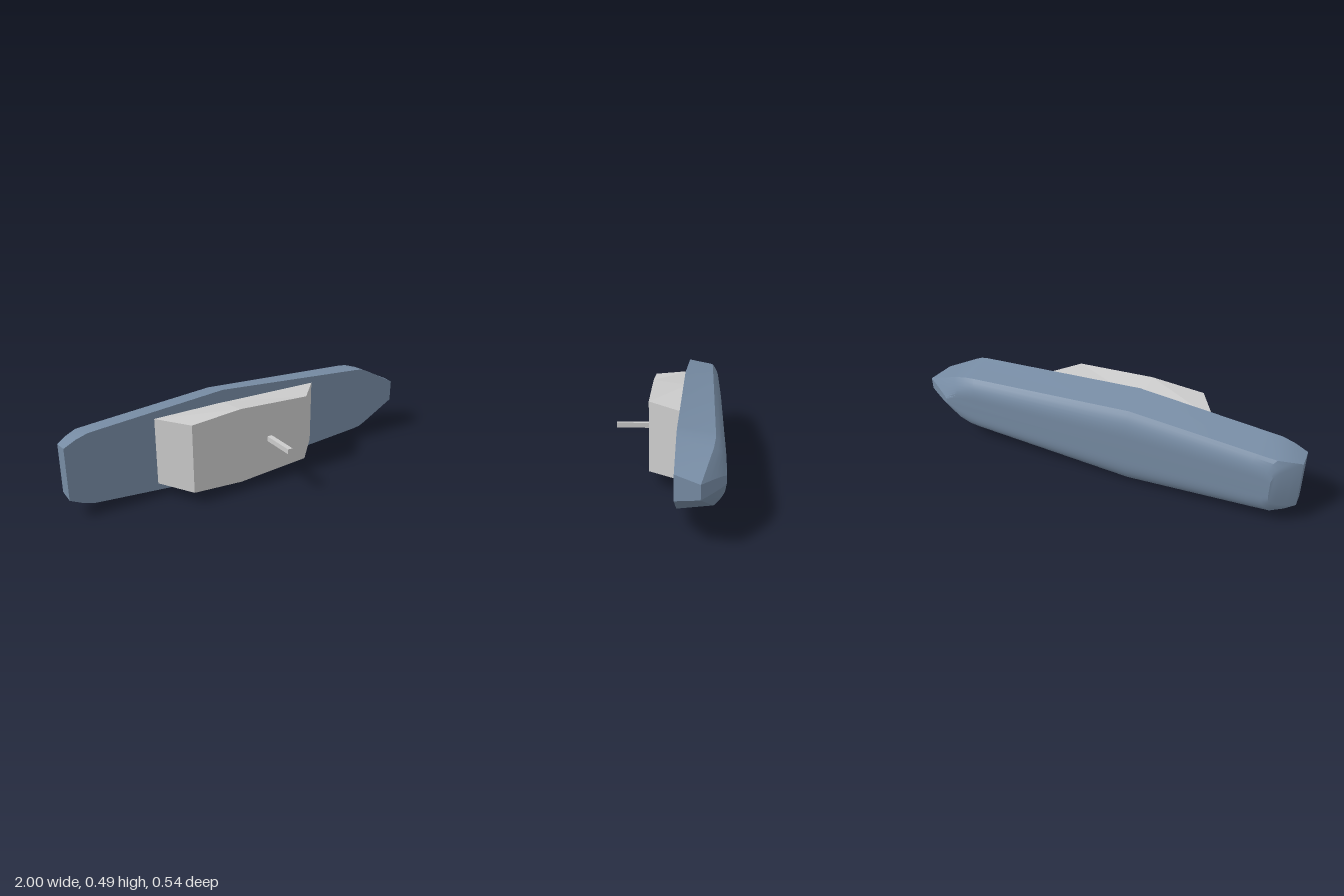
import * as THREE from 'three';
import { toCreasedNormals } from 'three/addons/utils/BufferGeometryUtils.js';

const CENTRE_Y = 0.2435;
const BOTTOM_Z = -0.27;
const lerp = THREE.MathUtils.lerp;

// Full closed outline from one side's stations [x, half width, z]
function mirrorRing(stations) {
  const upper = stations.map(([x, w, z]) => new THREE.Vector3(x, CENTRE_Y + w, z));
  const lower = stations.map(([x, w, z]) => new THREE.Vector3(x, CENTRE_Y - w, z)).reverse();
  return [...upper, ...lower];
}

// Skin a stack of rings, ordered from +z to -z, with capped ends
function loft(rings, crease) {
  const pos = [];
  const tri = (...pts) => pts.forEach((p) => pos.push(p.x, p.y, p.z));
  const n = rings[0].length;
  for (let r = 0; r < rings.length - 1; r++) {
    for (let i = 0; i < n; i++) {
      const j = (i + 1) % n;
      const [a, b, c, d] = [rings[r][i], rings[r][j], rings[r + 1][i], rings[r + 1][j]];
      tri(a, b, c);
      tri(b, d, c);
    }
  }
  const cap = (ring, flip) => {
    const mid = ring.reduce((s, p) => s.add(p), new THREE.Vector3()).divideScalar(n);
    ring.forEach((p, i) => {
      const q = ring[(i + 1) % n];
      if (flip) tri(mid, p, q);
      else tri(mid, q, p);
    });
  };
  cap(rings[0], false);
  cap(rings[rings.length - 1], true);
  const geo = new THREE.BufferGeometry();
  geo.setAttribute('position', new THREE.Float32BufferAttribute(pos, 3));
  return toCreasedNormals(geo, crease);
}

function part(name, geo, color) {
  const mesh = new THREE.Mesh(geo, new THREE.MeshStandardMaterial({ color }));
  mesh.name = name;
  return mesh;
}

export function createModel() {
  const model = new THREE.Group();
  model.name = 'ship';

  // Hull: deck edge, chine, then a rounded bilge closing to a flat bottom
  const deckZ = (x) => -0.0755 + 0.0205 * x;
  const deck = [[-1, 0.135], [-0.94, 0.165], [-0.88, 0.184], [-0.8, 0.191], [-0.17, 0.2435],
    [0.69, 0.179], [0.73, 0.173], [0.77, 0.154], [0.95, 0.056]]
    .map(([x, w]) => [x, w, deckZ(x)]);
  const chine = [[-1, 0.126, -0.178], [-0.95, 0.142, -0.207], [-0.89, 0.154, -0.233],
    [-0.8, 0.161, -0.233], [-0.17, 0.208, -0.227], [0.69, 0.154, -0.225],
    [0.74, 0.148, -0.224], [0.81, 0.125, -0.215], [1, 0.032, -0.163]];
  const floor = [[-0.88, 0.035], [-0.87, 0.04], [-0.85, 0.042], [-0.78, 0.045], [-0.17, 0.06],
    [0.66, 0.045], [0.71, 0.04], [0.77, 0.032], [0.84, 0.012]];
  const hullRings = [mirrorRing(deck)];
  const STEPS = 8;
  for (let k = 0; k <= STEPS; k++) {
    const t = k / STEPS;
    const ease = 1 - (1 - t) ** 3;
    hullRings.push(mirrorRing(chine.map(([x, w, z], i) => [
      lerp(x, floor[i][0], ease), lerp(w, floor[i][1], t), lerp(z, BOTTOM_Z, ease),
    ])));
  }
  model.add(part('hull', loft(hullRings, 0.4), 0x768ba3));

  // Superstructure: block with raked ends, widest amidships
  const roof = mirrorRing([[-0.44, 0.18, 0.09], [-0.17, 0.2, 0.09], [0.225, 0.177, 0.09]]);
  const foot = mirrorRing([[-0.55, 0.175, -0.09], [-0.17, 0.176, -0.09], [0.39, 0.167, -0.08]]);
  model.add(part('superstructure', loft([roof, foot], 0.02), 0xcccccc));

  // Mast
  const mast = part('mast', new THREE.BoxGeometry(0.026, 0.026, 0.19), 0xcccccc);
  mast.position.set(0, CENTRE_Y, 0.175);
  model.add(mast);

  return model;
}
